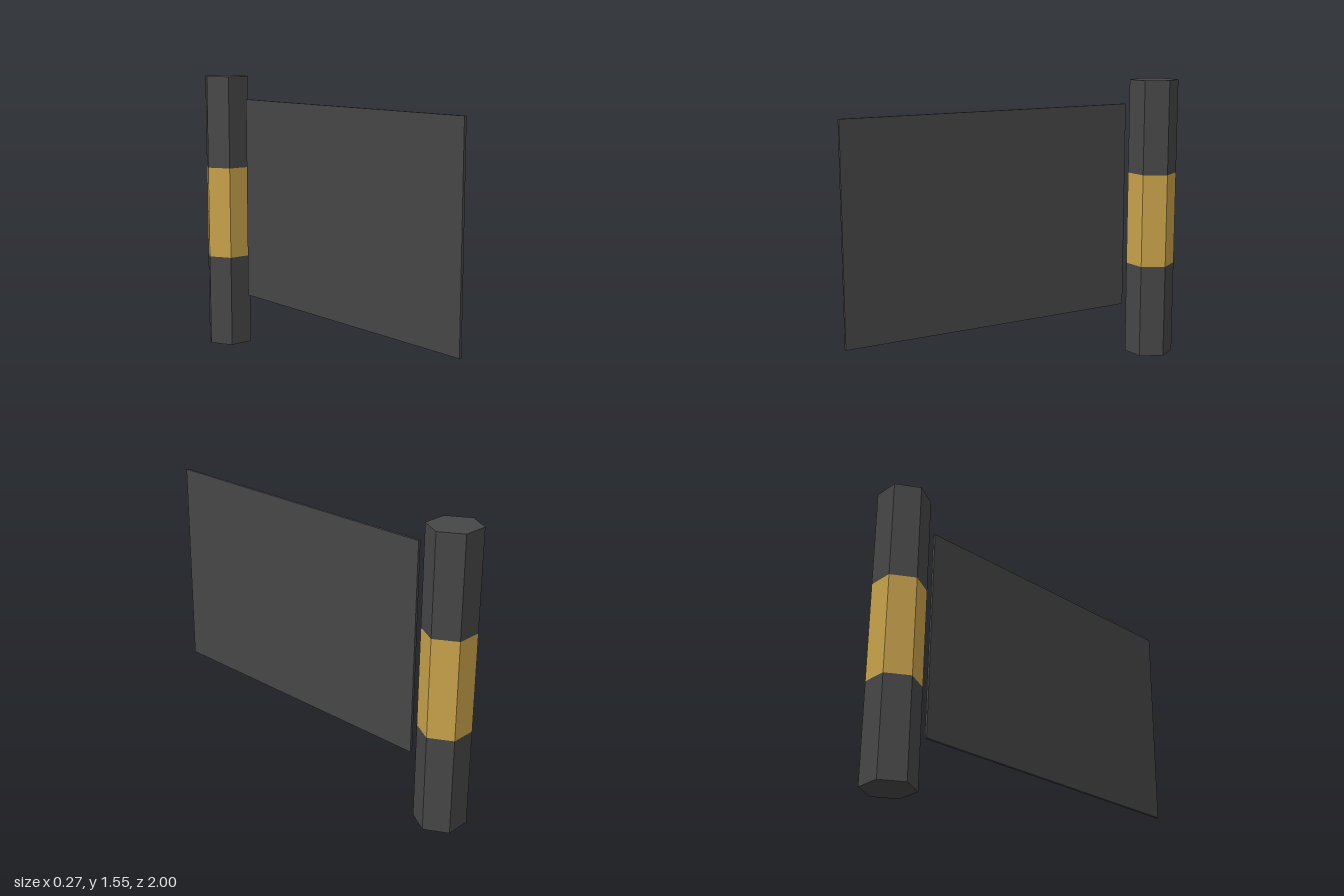
import * as THREE from 'three';

export function createModel() {
  const model = new THREE.Group();
  const darkGrey = new THREE.MeshStandardMaterial({ color: 0x464646, flatShading: true });
  darkGrey.name = 'darkGrey';
  const gold = new THREE.MeshStandardMaterial({ color: 0xc8a24a, flatShading: true });
  gold.name = 'gold';

  // Hexagonal post: three flush sections, open where they meet
  const radius = 0.135, height = 1.555, section = height / 3, postZ = -0.883;
  const post = new THREE.Group();
  post.name = 'post';
  post.position.z = postZ;
  model.add(post);

  [['postBottom', darkGrey], ['postBand', gold], ['postTop', darkGrey]].forEach(([name, material], i) => {
    const geometry = new THREE.CylinderGeometry(radius, radius, section, 6, 1, i === 1, Math.PI / 6);
    const mesh = new THREE.Mesh(geometry, material);
    mesh.name = name;
    mesh.position.y = section * (i + 0.5);
    post.add(mesh);
  });

  // Thin panel standing in front of the post
  const back = -0.683, front = 1, bottom = 0.305, top = 1.43;
  const panel = new THREE.Mesh(new THREE.BoxGeometry(0.014, top - bottom, front - back), darkGrey);
  panel.name = 'panel';
  panel.position.set(0, (top + bottom) / 2, (front + back) / 2);
  model.add(panel);

  return model;
}
